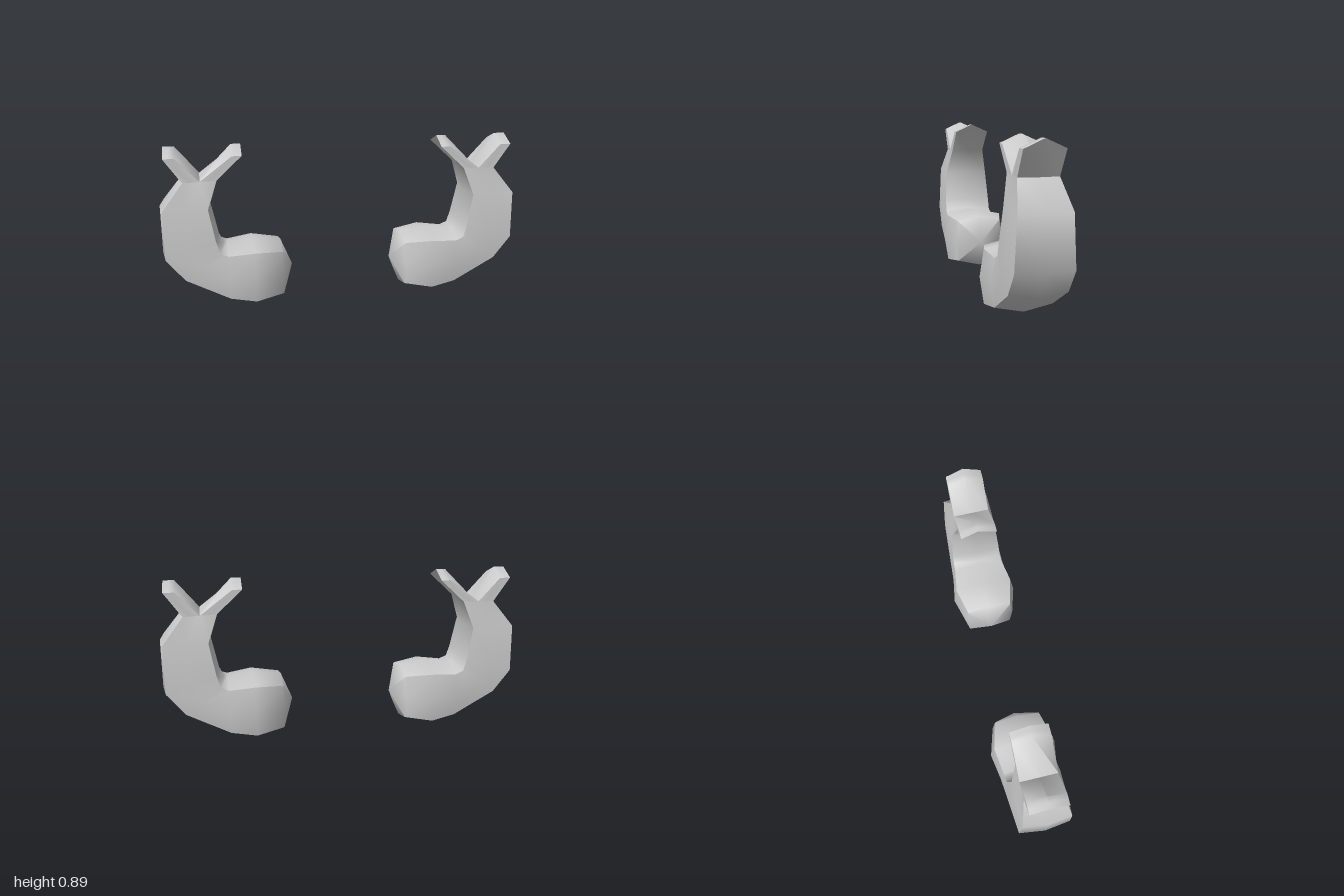
import * as THREE from 'three';
import { mergeGeometries, toCreasedNormals } from 'three/addons/utils/BufferGeometryUtils.js';

// Eight-point section between inner point a and outer point b (both on z = 0).
// zc, zm: half depth at the corners and at the middle of the sides;
// ka, kb: how far the corners step in from a and b; drop: lowers the sides.
function section({ a, b, zc, zm, ka = 0.1, kb = ka, drop = 0 }) {
  const at = (t, z) => [a[0] + (b[0] - a[0]) * t, a[1] + (b[1] - a[1]) * t - (z ? drop : 0), z];
  return [
    at(0, 0), at(ka, zc), at(0.5, zm), at(1 - kb, zc),
    at(1, 0), at(1 - kb, -zc), at(0.5, -zm), at(ka, -zc),
  ];
}

// Skin a row of sections; startTip / endTip close the ends with a fan.
function loft(sections, { startTip, endTip }) {
  const points = sections.flatMap(section);
  const index = [];
  const n = 8;
  for (let i = 0; i < sections.length - 1; i++) {
    for (let j = 0; j < n; j++) {
      const p = i * n + j, q = i * n + (j + 1) % n;
      index.push(p, q, p + n, q, q + n, p + n);
    }
  }
  const last = (sections.length - 1) * n;
  if (startTip) {
    const c = points.push(startTip) - 1;
    for (let j = 0; j < n; j++) index.push(c, (j + 1) % n, j);
  }
  if (endTip) {
    const c = points.push(endTip) - 1;
    for (let j = 0; j < n; j++) index.push(c, last + j, last + (j + 1) % n);
  }
  const geometry = new THREE.BufferGeometry();
  geometry.setAttribute('position', new THREE.Float32BufferAttribute(points.flat(), 3));
  geometry.setIndex(index);
  return geometry;
}

function armGeometry() {
  const forkIn = [0.677, 0.725], forkMid = [0.776, 0.722], forkOut = [0.875, 0.719];

  // rounded shoulder bending up into the forearm
  const limb = loft([
    { a: [0.35, 0.34], b: [0.35, 0.03], zc: 0.13, zm: 0.145 },
    { a: [0.505, 0.36], b: [0.505, 0.005], zc: 0.168, zm: 0.19 },
    { a: [0.645, 0.34], b: [0.645, 0.03], zc: 0.148, zm: 0.167 },
    { a: [0.665, 0.345], b: [0.905, 0.17], zc: 0.145, zm: 0.157 },
    { a: [0.69, 0.4], b: [0.997, 0.305], zc: 0.143, zm: 0.153, ka: 0.06 },
    { a: [0.725, 0.575], b: [0.995, 0.575], zc: 0.13, zm: 0.132, ka: 0.06 },
    { a: forkIn, b: forkOut, zc: 0.1, zm: 0.1, ka: 0.05 },
  ], { startTip: [0.287, 0.185, 0] });

  // two flat prongs with peaked ends
  const innerProng = loft([
    { a: forkIn, b: forkMid, zc: 0.1, zm: 0.1, ka: 0.1, kb: 0 },
    { a: [0.55, 0.897], b: [0.602, 0.897], zc: 0.1, zm: 0.1, ka: 0, drop: 0.045 },
  ], { endTip: [0.576, 0.897, 0] });
  const outerProng = loft([
    { a: forkMid, b: forkOut, zc: 0.1, zm: 0.1, ka: 0, kb: 0.1 },
    { a: [0.897, 0.897], b: [0.957, 0.897], zc: 0.1, zm: 0.1, ka: 0, drop: 0.045 },
  ], { endTip: [0.927, 0.897, 0] });

  return toCreasedNormals(mergeGeometries([limb, innerProng, outerProng]), 1.1);
}

export function createModel() {
  const model = new THREE.Group();
  model.name = 'pairOfForkedArms';
  const material = new THREE.MeshStandardMaterial({ color: 0xcccccc });
  const geometry = armGeometry();

  const leftArm = new THREE.Mesh(geometry, material);
  leftArm.name = 'leftForkedArm';

  // the arm is symmetric front to back, so a half turn mirrors it
  const rightArm = new THREE.Mesh(geometry, material);
  rightArm.name = 'rightForkedArm';
  rightArm.rotation.y = Math.PI;

  model.add(leftArm, rightArm);
  return model;
}
